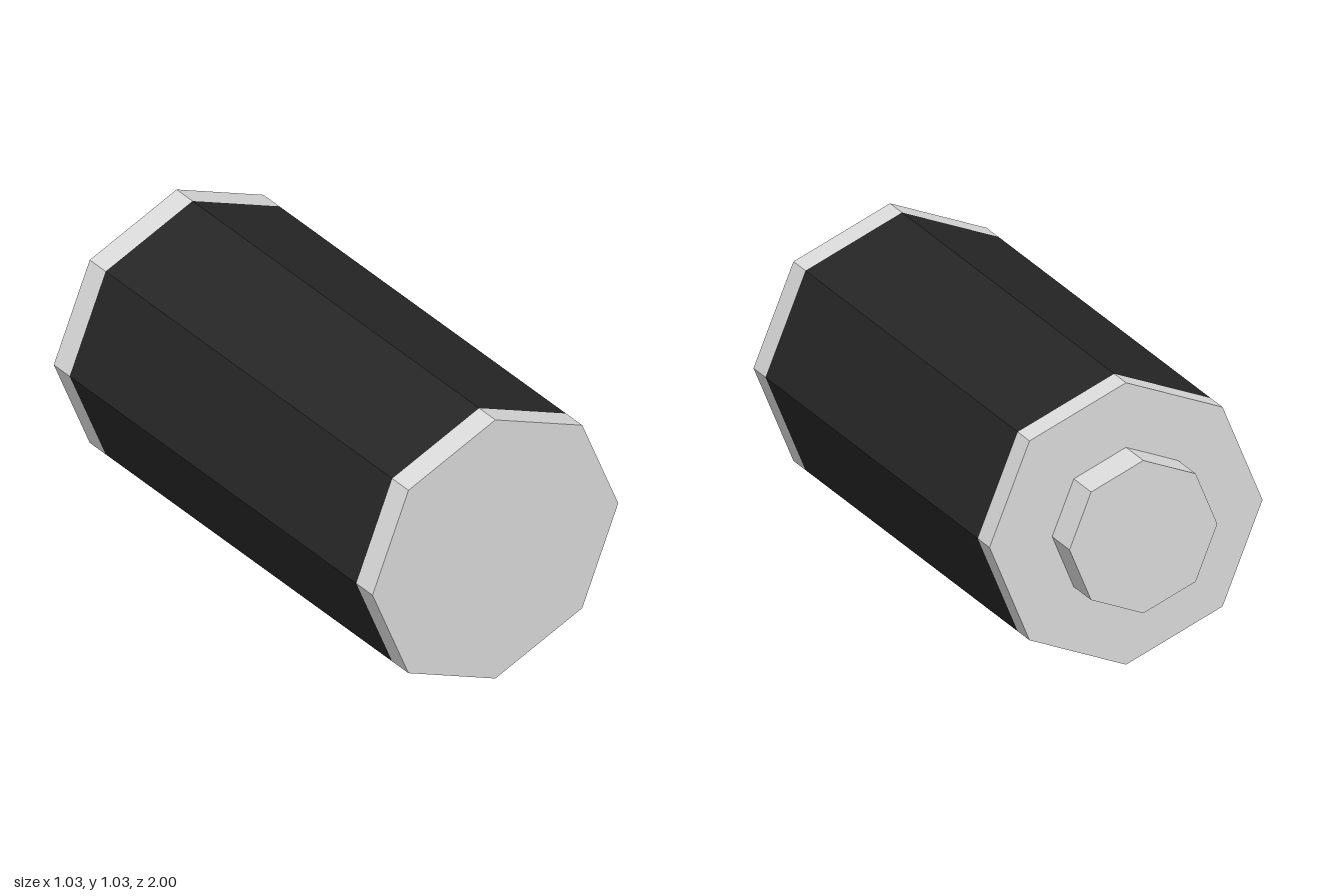
import * as THREE from 'three';

const SIDES = 8;
const RADIUS = 0.517;
const TIP_RADIUS = 0.28;

export function createModel() {
  const silver = new THREE.MeshStandardMaterial({ color: 0xdcdcdc, flatShading: true });
  silver.name = 'silver metal';
  const black = new THREE.MeshStandardMaterial({ color: 0x262626, flatShading: true });
  black.name = 'black wrap';

  const group = new THREE.Group();
  group.name = 'battery';

  const add = (name, geometry, material) => {
    const mesh = new THREE.Mesh(geometry, material);
    mesh.name = name;
    mesh.position.y = RADIUS;
    group.add(mesh);
  };

  // Octagonal wall lying along z, between two depths
  const wall = (name, radius, z0, z1, material) => {
    const geometry = new THREE.CylinderGeometry(radius, radius, z1 - z0, SIDES, 1, true);
    geometry.rotateX(Math.PI / 2).translate(0, 0, (z0 + z1) / 2);
    add(name, geometry, material);
  };

  // Octagonal end face, turned to the front (1) or back (-1)
  const face = (name, radius, z, direction) => {
    const geometry = new THREE.CircleGeometry(radius, SIDES);
    if (direction < 0) geometry.rotateY(Math.PI);
    add(name, geometry.translate(0, 0, z), silver);
  };

  // Casing
  wall('frontRim', RADIUS, 0.905, 1, silver);
  wall('wrap', RADIUS, -0.77, 0.905, black);
  wall('backRim', RADIUS, -0.863, -0.77, silver);
  face('frontEnd', RADIUS, 1, 1);
  face('backEnd', RADIUS, -0.863, -1);

  // Raised contact at the back
  wall('terminalWall', TIP_RADIUS, -1, -0.863, silver);
  face('terminalEnd', TIP_RADIUS, -1, -1);

  return group;
}
